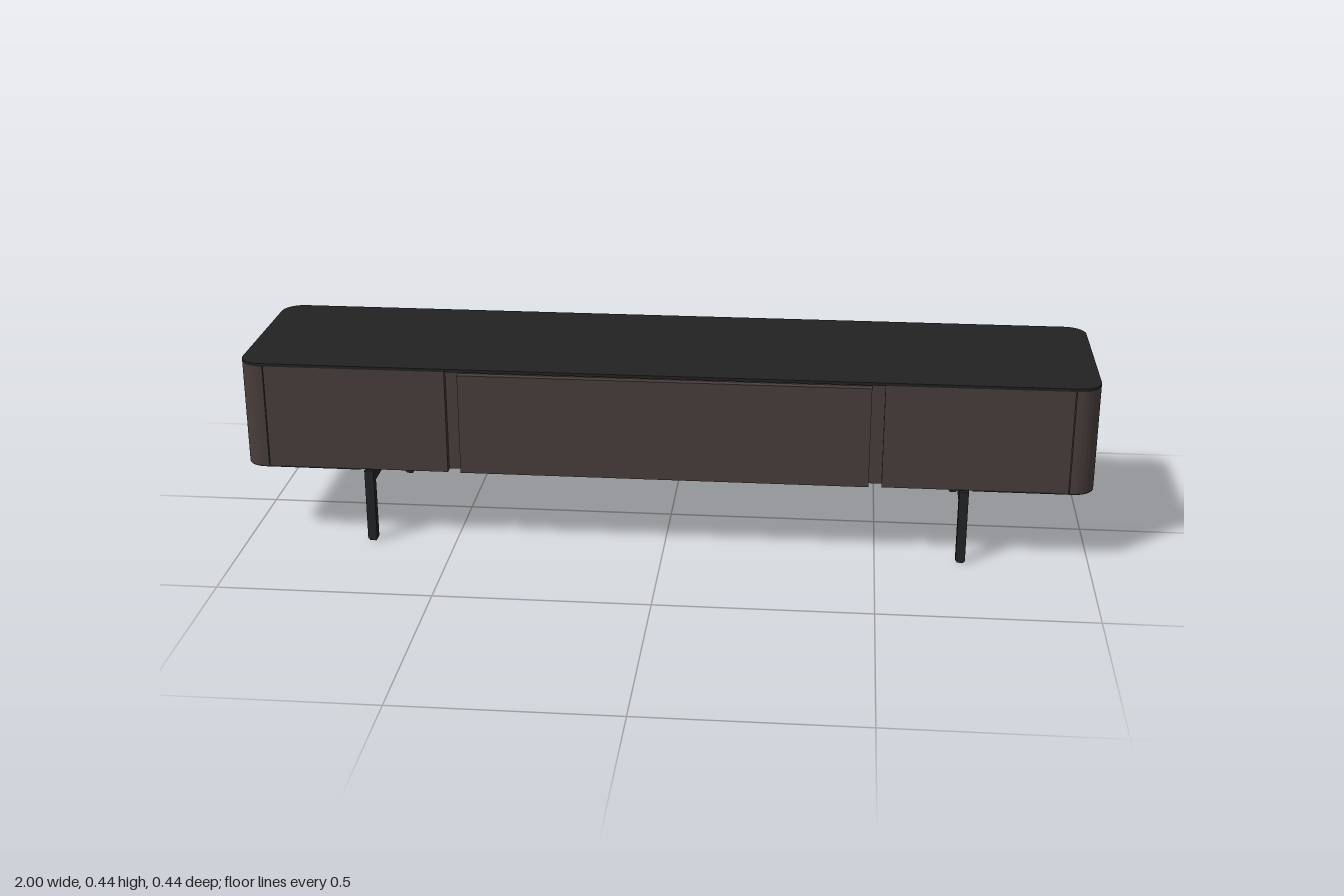
import * as THREE from 'three';
import { toCreasedNormals } from 'three/addons/utils/BufferGeometryUtils.js';

const wood = new THREE.MeshStandardMaterial({ color: 0x483d3b });
wood.name = 'dark brown wood';
const black = new THREE.MeshStandardMaterial({ color: 0x222222 });
black.name = 'black top';
const metal = new THREE.MeshStandardMaterial({ color: 0x222425 });
metal.name = 'black metal';

const HALF_DEPTH = 0.22, RADIUS = 0.05;

// Box given by its limits on each axis
function block(name, material, [x0, x1], [y0, y1], [z0, z1]) {
  const mesh = new THREE.Mesh(new THREE.BoxGeometry(x1 - x0, y1 - y0, z1 - z0), material);
  mesh.position.set((x0 + x1) / 2, (y0 + y1) / 2, (z0 + z1) / 2);
  mesh.name = name;
  return mesh;
}

// Horizontal slab with rounded corners at x1, and at x0 too if roundBoth
function slab(name, material, x0, x1, y0, y1, roundBoth = false) {
  const d = HALF_DEPTH, r = RADIUS, s = new THREE.Shape();
  s.moveTo(roundBoth ? x0 + r : x0, -d);
  s.lineTo(x1 - r, -d);
  s.absarc(x1 - r, -d + r, r, -Math.PI / 2, 0);
  s.absarc(x1 - r, d - r, r, 0, Math.PI / 2);
  if (roundBoth) {
    s.absarc(x0 + r, d - r, r, Math.PI / 2, Math.PI);
    s.absarc(x0 + r, -d + r, r, Math.PI, Math.PI * 1.5);
  } else {
    s.lineTo(x0, d);
  }
  s.closePath();
  const geo = new THREE.ExtrudeGeometry(s, { depth: y1 - y0, bevelEnabled: false, curveSegments: 10 });
  geo.rotateX(-Math.PI / 2);
  const mesh = new THREE.Mesh(toCreasedNormals(geo, 0.6), material);
  mesh.position.y = y0;
  mesh.name = name;
  return mesh;
}

export function createModel() {
  const model = new THREE.Group();
  model.name = 'lowSideboard';

  // Carcass, top, back and centre drawer
  model.add(
    block('carcass', wood, [-0.95, 0.95], [0.189, 0.438], [-0.212, 0.203]),
    slab('top', black, -1, 1, 0.438, 0.445, true),
    block('backPanel', wood, [-0.939, 0.939], [0.186, 0.438], [-0.22, -0.212]),
    block('drawerFront', wood, [-0.48, 0.48], [0.186, 0.43], [0.203, 0.22])
  );

  // Each end: corner cap, door, base plate and leg frame; turned round for the other side
  for (const side of [1, -1]) {
    const end = new THREE.Group();
    end.name = side > 0 ? 'leftEnd' : 'rightEnd';
    const z = (a, b) => (side > 0 ? [a, b] : [-b, -a]);
    end.add(
      slab('endCap', wood, 0.941, 1, 0.187, 0.438),
      slab('basePlate', black, 0.72, 1, 0.185, 0.1885),
      block('door', wood, [0.51, 0.939], [0.187, 0.438], z(0.203, 0.22))
    );

    // Leg frame: crossbar, two legs with small feet, two spacers
    const frame = new THREE.Group();
    frame.name = 'legFrame';
    frame.add(block('crossbar', metal, [0.69, 0.712], [0.152, 0.182], [-0.22, 0.22]));
    for (const s of [1, -1]) {
      const zs = (a, b) => (s > 0 ? [a, b] : [-b, -a]);
      frame.add(
        block('leg', metal, [0.69, 0.712], [0.005, 0.152], zs(0.198, 0.22)),
        block('foot', metal, [0.693, 0.709], [0, 0.005], zs(0.201, 0.217)),
        block('spacer', metal, [0.692, 0.71], [0.182, 0.189], zs(0.2, 0.21))
      );
    }
    end.add(frame);
    if (side < 0) end.rotation.y = Math.PI;
    model.add(end);
  }
  return model;
}
